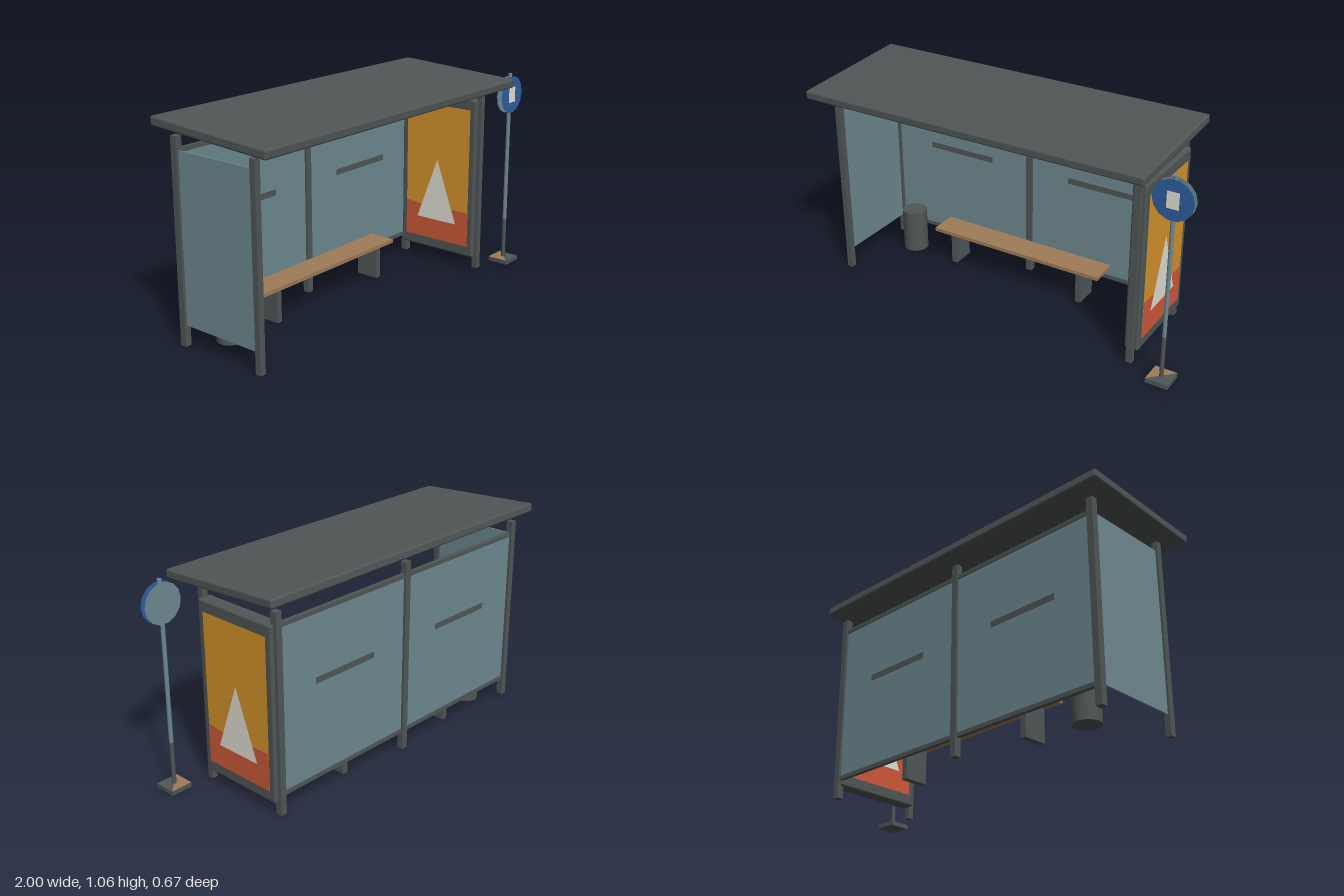
import * as THREE from 'three';
import { RoundedBoxGeometry } from 'three/addons/geometries/RoundedBoxGeometry.js';

export function createModel() {
  const root = new THREE.Group();
  root.name = 'busShelter';

  const mat = (name, color, side = THREE.FrontSide) => {
    const m = new THREE.MeshStandardMaterial({ color, side });
    m.name = name;
    return m;
  };
  const metal = mat('darkMetal', 0x505656);
  const glass = mat('blueGreyGlass', 0x6f8a92, THREE.DoubleSide);
  const wood = mat('wood', 0xa07c58);
  const orange = mat('posterOrange', 0xd8952c);
  const red = mat('posterRed', 0xd05a3a);
  const pale = mat('paleGrey', 0xe4e2d8);
  const blue = mat('signBlue', 0x2d5fa0, THREE.DoubleSide);

  const add = (name, geometry, material, x = 0, y = 0, z = 0, parent = root) => {
    const mesh = new THREE.Mesh(geometry, material);
    mesh.name = name;
    mesh.position.set(x, y, z);
    parent.add(mesh);
    return mesh;
  };
  // Box given by its limits on each axis
  const box = (name, material, x0, x1, y0, y1, z0, z1) =>
    add(name, new THREE.BoxGeometry(x1 - x0, y1 - y0, z1 - z0), material,
      (x0 + x1) / 2, (y0 + y1) / 2, (z0 + z1) / 2);
  const post = (name, x, z, height, w) =>
    box(name, metal, x - w / 2, x + w / 2, 0, height, z - w / 2, z + w / 2);

  // Roof slab, sloping down to the front
  const roof = add('roof', new RoundedBoxGeometry(1.8, 0.044, 0.674, 3, 0.01), metal, -0.1, 1.018, 0);
  roof.rotation.x = 0.058;

  // Posts
  for (const x of [-0.92, -0.1, 0.715]) post('backPost', x, -0.27, 0.97, 0.033);
  for (const x of [-0.92, 0.715]) post('frontPost', x, 0.195, 0.95, 0.03);

  // Back wall: two panes with rails and a warning strip
  for (const [x0, x1, s0] of [[-0.904, -0.116, -0.7], [-0.084, 0.7, 0.12]]) {
    box('backPane', glass, x0, x1, 0.1, 0.905, -0.274, -0.266);
    box('paneStrip', metal, s0, s0 + 0.375, 0.56, 0.59, -0.276, -0.264);
    for (const y of [0.1, 0.903]) box('rail', metal, x0, x1, y - 0.01, y + 0.01, -0.28, -0.26);
  }

  // Side pane on the model's right
  box('sidePane', glass, -0.924, -0.916, 0.1, 0.905, -0.254, 0.18);

  // Poster case with a poster on both faces
  add('posterCase', new RoundedBoxGeometry(0.07, 0.85, 0.46, 2, 0.01), metal, 0.715, 0.485, -0.04);
  // Poster drawn with u = -z on the outer face
  const flat = (points) => new THREE.ShapeGeometry(new THREE.Shape(points.map(p => new THREE.Vector2(...p))));
  const art = [
    ['posterField', orange, [[-0.198, 0.115], [0.198, 0.115], [0.198, 0.855], [-0.198, 0.855]]],
    ['posterGround', red, [[-0.198, 0.115], [0.198, 0.115], [0.198, 0.302], [0.06, 0.3], [-0.1, 0.297], [-0.198, 0.308]]],
    ['posterTriangle', pale, [[-0.124, 0.225], [0.124, 0.225], [0, 0.56]]],
  ];
  for (const side of [1, -1]) {
    const poster = new THREE.Group();
    poster.name = side > 0 ? 'outerPoster' : 'innerPoster';
    poster.position.set(0.715 + side * 0.036, 0, -0.04);
    poster.rotation.y = side * Math.PI / 2;
    art.forEach(([name, m, pts], i) => add(name, flat(pts), m, 0, 0, i * 0.0015, poster));
    root.add(poster);
  }

  // Bench
  box('benchSeat', wood, -0.585, 0.38, 0.163, 0.182, -0.245, -0.105);
  for (const x of [-0.475, 0.27]) box('benchLeg', metal, x - 0.015, x + 0.015, 0, 0.163, -0.237, -0.115);

  // Litter bin
  add('bin', new THREE.CylinderGeometry(0.065, 0.065, 0.225, 16), metal, -0.755, 0.1125, -0.155);

  // Stop sign post: foot, two-tone pole and round plate
  const px = 0.9, pz = 0.25;
  box('signFoot', metal, px - 0.055, px + 0.055, 0, 0.022, pz - 0.055, pz + 0.055);
  const footTop = add('footPlate', flat([[-0.055, -0.055], [0.055, 0.055], [-0.055, 0.055]]), wood, px, 0.0235, pz);
  footTop.rotation.x = -Math.PI / 2;
  add('poleBase', new THREE.CylinderGeometry(0.0105, 0.0105, 0.213, 8), metal, px, 0.1285, pz);
  add('pole', new THREE.CylinderGeometry(0.0105, 0.0105, 0.79, 8), glass, px, 0.63, pz);
  const disc = new THREE.CircleGeometry(0.097, 14);
  add('signFace', disc, blue, px, 0.915, pz + 0.014);
  add('signBack', disc, glass, px, 0.915, pz - 0.014).rotation.y = Math.PI;
  add('signPanel', new THREE.PlaneGeometry(0.058, 0.08), pale, px, 0.915, pz + 0.016);

  return root;
}
